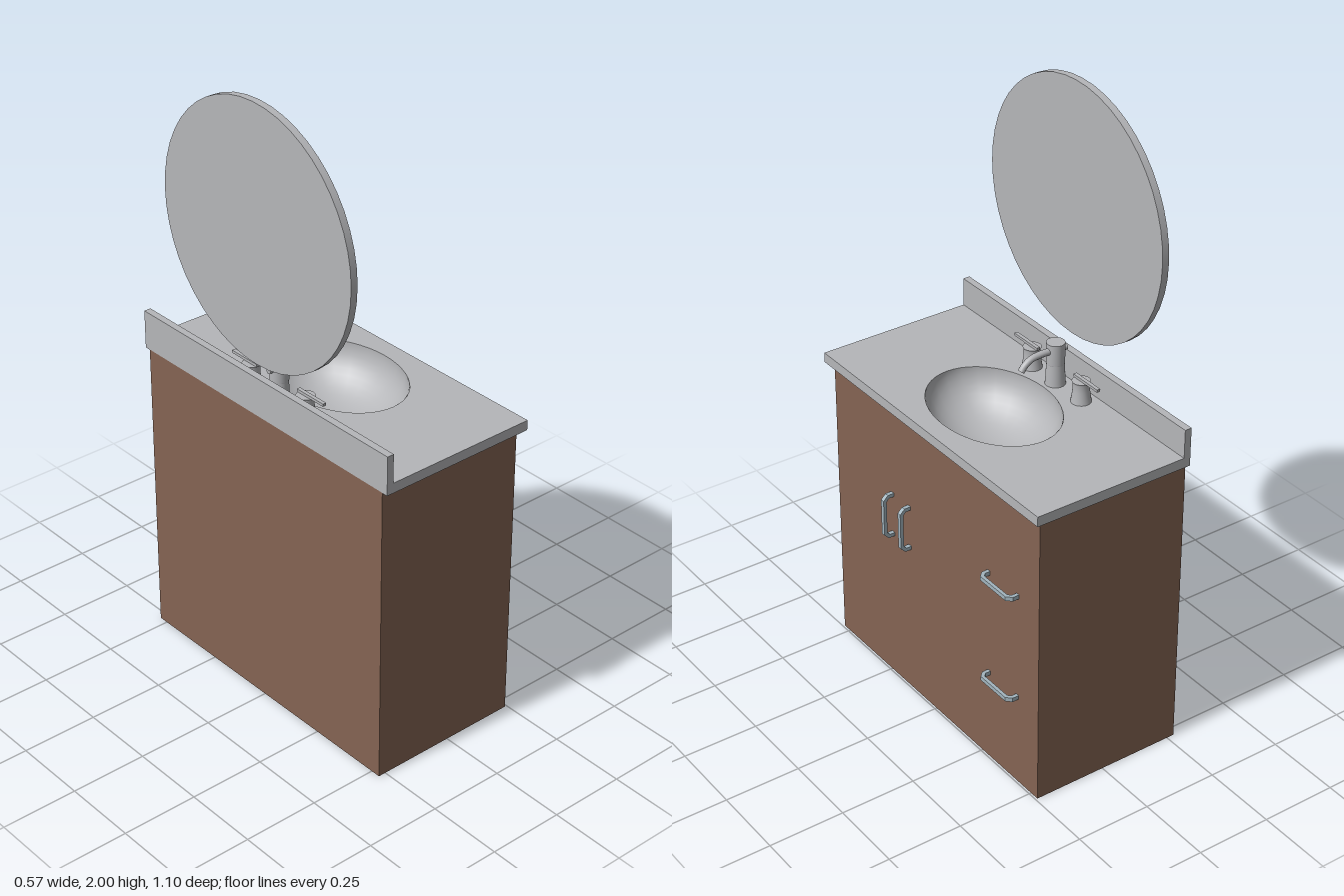
import * as THREE from 'three';

const stone = new THREE.MeshStandardMaterial({ color: 0xb5b6b9, side: THREE.DoubleSide });
stone.name = 'pale grey';
const wood = new THREE.MeshStandardMaterial({ color: 0x856453, side: THREE.DoubleSide });
wood.name = 'brown wood';
const steel = new THREE.MeshStandardMaterial({ color: 0xa3b5be, side: THREE.DoubleSide });
steel.name = 'blue grey steel';

export function createModel() {
  const model = new THREE.Group();
  model.name = 'bathroomVanity';

  function add(name, geometry, material, x = 0, y = 0, z = 0, parent = model) {
    const mesh = new THREE.Mesh(geometry, material);
    mesh.name = name;
    mesh.position.set(x, y, z);
    parent.add(mesh);
    return mesh;
  }

  // Cabinet: four walls, open above and below
  const walls = new THREE.BoxGeometry(0.518, 0.997, 1.064);
  const index = Array.from(walls.index.array);
  index.splice(12, 12);
  walls.setIndex(index);
  walls.clearGroups();
  add('cabinet', walls, wood, -0.016, 0.4985, 0);

  // Countertop with an oval opening
  const top = new THREE.Shape();
  top.moveTo(-0.275, -0.552).lineTo(0.266, -0.552).lineTo(0.266, 0.552).lineTo(-0.275, 0.552);
  const opening = new THREE.Path();
  opening.absellipse(0.023, 0, 0.182, 0.244, 0, Math.PI * 2, true);
  top.holes.push(opening);
  const slab = new THREE.ExtrudeGeometry(top, { depth: 0.033, bevelEnabled: false, curveSegments: 24 });
  slab.rotateX(Math.PI / 2);
  add('countertop', slab, stone, 0, 1.029, 0);
  add('backsplash', new THREE.BoxGeometry(0.023, 0.096, 1.104), stone, -0.2635, 1.075, 0);

  // Bowl hangs below the opening
  const bowl = new THREE.SphereGeometry(1, 24, 12, 0, Math.PI * 2, Math.PI / 2, Math.PI / 2);
  bowl.scale(0.182, 0.15, 0.244);
  add('basin', bowl, stone, 0.023, 1.028, 0);

  // Round mirror
  const disc = new THREE.CylinderGeometry(0.41, 0.41, 0.023, 48);
  disc.rotateZ(Math.PI / 2);
  add('mirror', disc, stone, -0.2745, 1.59, 0);

  // Tap: lathe body, curved spout and rear knob
  const tap = new THREE.Group();
  tap.name = 'tap';
  tap.position.set(-0.203, 1.029, 0);
  model.add(tap);
  const lathe = (points) => new THREE.LatheGeometry(points.map(([r, y]) => new THREE.Vector2(r, y)), 24);
  add('tapBody', lathe([[0.032, 0], [0.031, 0.01], [0.028, 0.07], [0.028, 0.07], [0.029, 0.072],
    [0.029, 0.141], [0.029, 0.141], [0, 0.141]]), stone, 0, 0, 0, tap);
  const spoutPath = new THREE.CatmullRomCurve3([[0.02, 0.116], [0.06, 0.116], [0.09, 0.112], [0.113, 0.098], [0.127, 0.081]]
    .map(([x, y]) => new THREE.Vector3(x, y, 0)));
  add('spout', new THREE.TubeGeometry(spoutPath, 16, 0.011, 12), stone, 0, 0, 0, tap);
  const knob = new THREE.CylinderGeometry(0.009, 0.009, 0.02, 12);
  knob.rotateZ(Math.PI / 2);
  add('rearKnob', knob, stone, -0.03, 0.112, 0, tap);

  // Hot and cold valves with outward levers
  for (const [z, side] of [[-0.128, -1], [0.118, 1]]) {
    const valve = new THREE.Group();
    valve.name = side < 0 ? 'rightValve' : 'leftValve';
    valve.position.set(-0.203, 1.029, z);
    model.add(valve);
    add('valveBody', lathe([[0.032, 0], [0.03, 0.012], [0.026, 0.04], [0.026, 0.064], [0.029, 0.07],
      [0.029, 0.07], [0, 0.07]]), stone, 0, 0, 0, valve);
    add('valveLever', new THREE.BoxGeometry(0.012, 0.009, 0.115), stone, 0, 0.075, side * 0.026, valve);
  }

  // Pulls: chamfered bracket profile, reaching out along +x
  const half = 0.078;
  const profile = new THREE.Shape([
    [0, -half], [0.022, -half], [0.038, -half + 0.016], [0.038, half - 0.016], [0.022, half], [0, half],
    [0, half - 0.012], [0.018, half - 0.012], [0.027, half - 0.022], [0.027, -half + 0.022],
    [0.018, -half + 0.012], [0, -half + 0.012],
  ].map(([x, y]) => new THREE.Vector2(x, y)));
  const pull = new THREE.ExtrudeGeometry(profile, { depth: 0.014, bevelEnabled: false });
  pull.translate(0, 0, -0.007);
  for (const z of [0.222, 0.131]) add('doorPull', pull, steel, 0.243, 0.609, z);
  for (const y of [0.681, 0.318]) {
    add('drawerPull', pull, steel, 0.243, y, -0.357).rotation.x = Math.PI / 2;
  }

  return model;
}
